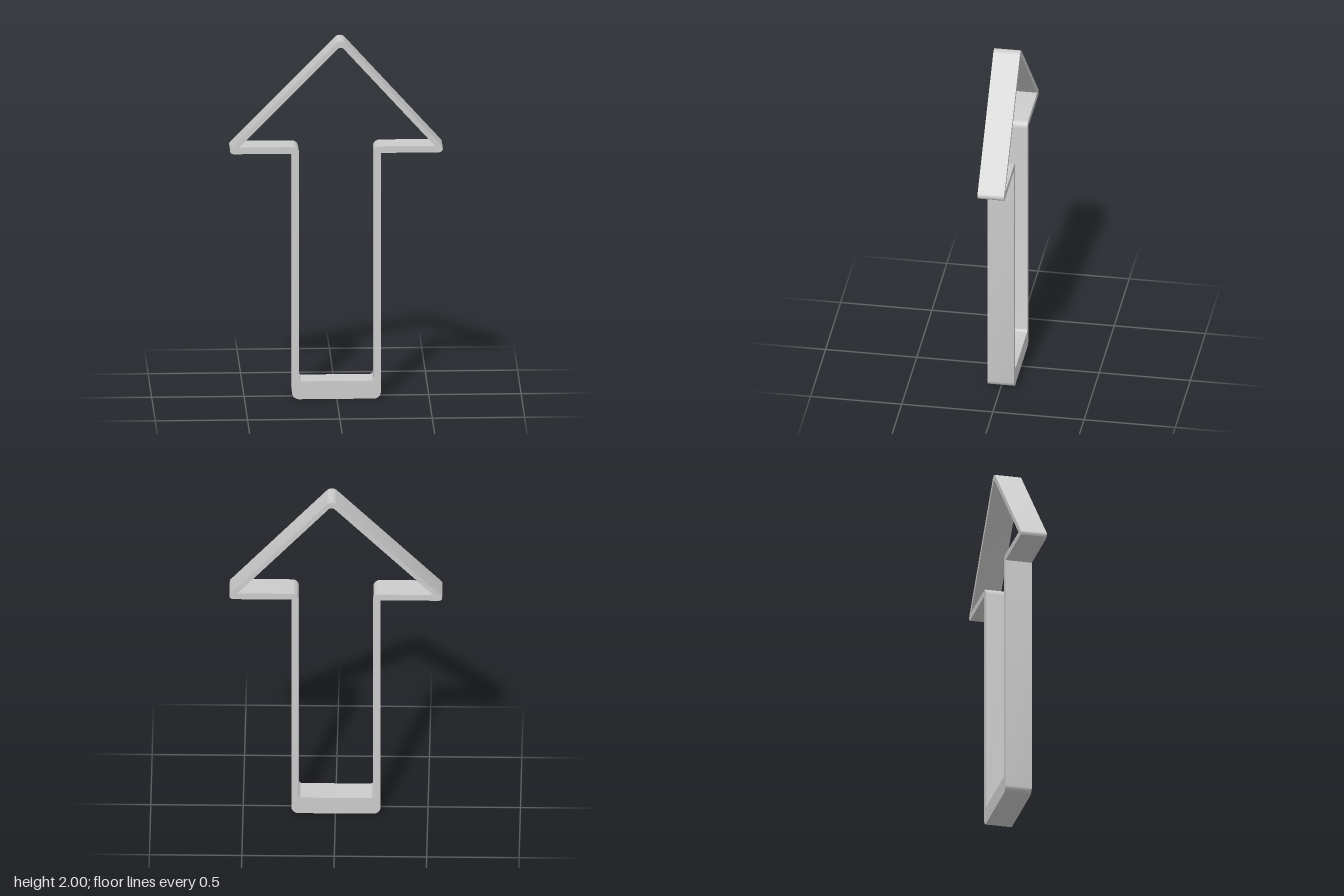
import * as THREE from 'three';
import { toCreasedNormals } from 'three/addons/utils/BufferGeometryUtils.js';

const DEPTH = 0.146;
const ARC_STEPS = 10;

// Closed outline from corners [x, y, radius]; each radius becomes a true fillet arc
function filletedLoop(corners) {
  const points = [];
  const n = corners.length;
  corners.forEach(([x, y, r = 0], i) => {
    const p = new THREE.Vector2(x, y);
    if (!r) {
      points.push(p);
      return;
    }
    const toPrev = new THREE.Vector2(...corners[(i + n - 1) % n].slice(0, 2)).sub(p).normalize();
    const toNext = new THREE.Vector2(...corners[(i + 1) % n].slice(0, 2)).sub(p).normalize();
    const half = Math.acos(toPrev.dot(toNext)) / 2;
    const centre = toPrev.clone().add(toNext).normalize().multiplyScalar(r / Math.sin(half)).add(p);
    const start = p.clone().addScaledVector(toPrev, r / Math.tan(half)).sub(centre);
    const turn = Math.sign(toNext.cross(toPrev)) * (Math.PI - 2 * half);
    for (let s = 0; s <= ARC_STEPS; s++) {
      const a = start.angle() + (turn * s) / ARC_STEPS;
      points.push(new THREE.Vector2(centre.x + r * Math.cos(a), centre.y + r * Math.sin(a)));
    }
  });
  return points;
}

export function createModel() {
  const group = new THREE.Group();
  group.name = 'arrowCutter';

  // Outer wall, counter-clockwise from the bottom of the shaft
  const outer = filletedLoop([
    [-0.243, 0, 0.038], [0.238, 0, 0.038],
    [0.238, 1.374], [0.6, 1.374, 0.021],
    [0.022, 2.0155, 0.036],
    [-0.604, 1.374, 0.019], [-0.243, 1.374],
  ]);

  // Opening, leaving a thin wall and a thicker bar at the foot
  const inner = filletedLoop([
    [-0.204, 0.1, 0.018], [0.2, 0.1, 0.018],
    [0.2, 1.411, 0.036], [0.53, 1.411],
    [0.021, 1.975, 0.024],
    [-0.53, 1.411], [-0.204, 1.411, 0.036],
  ]);

  const shape = new THREE.Shape(outer);
  shape.holes.push(new THREE.Path(inner));

  const geometry = new THREE.ExtrudeGeometry(shape, { depth: DEPTH, bevelEnabled: false });
  geometry.translate(0, 0, -DEPTH / 2);

  const frame = new THREE.Mesh(
    toCreasedNormals(geometry, 0.5),
    new THREE.MeshStandardMaterial({ color: 0xcccccc })
  );
  frame.name = 'arrowFrame';
  group.add(frame);
  return group;
}
